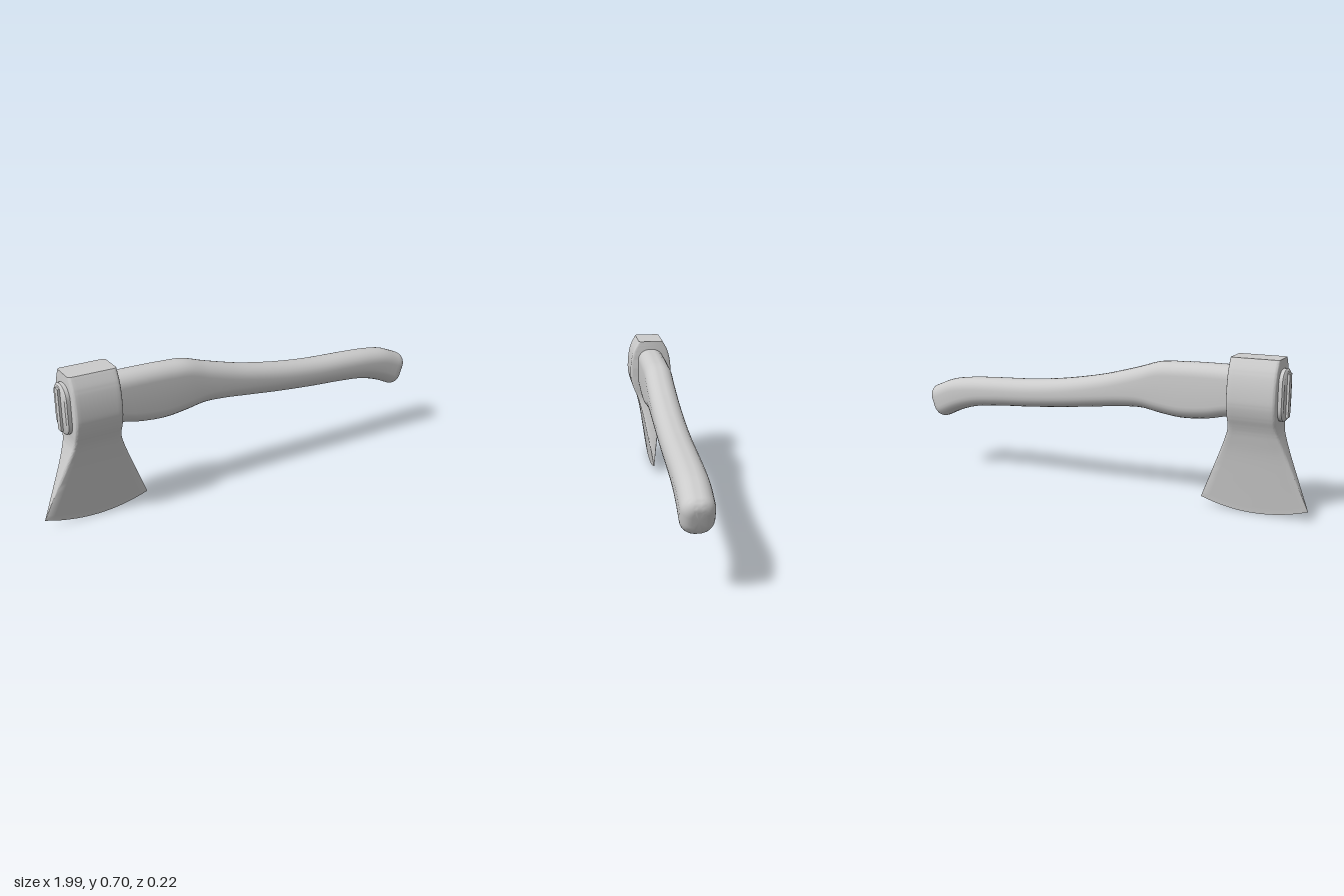
import * as THREE from 'three';
import { toCreasedNormals } from 'three/addons/utils/BufferGeometryUtils.js';

const material = new THREE.MeshStandardMaterial({ color: 0xcccccc });

// Counter-clockwise rounded rectangle as [u, v] pairs; the sides along u are subdivided.
function roundedRect(hu, hv, r, sideSteps = 1, cornerSteps = 6) {
  r = Math.min(r, hu, hv);
  const points = [];
  [[1, 1], [-1, 1], [-1, -1], [1, -1]].forEach(([su, sv], q) => {
    for (let i = 0; i <= cornerSteps; i++) {
      const a = (q + i / cornerSteps) * Math.PI / 2;
      points.push([su * (hu - r) + r * Math.cos(a), sv * (hv - r) + r * Math.sin(a)]);
    }
    if (q % 2 === 0) {
      for (let i = 1; i < sideSteps; i++) {
        points.push([su * (hu - r) * (1 - 2 * i / sideSteps), sv * hv]);
      }
    }
  });
  return points;
}

// Skin over rings of Vector3, closed with a fan at both ends.
function loft(name, rings, crease) {
  const n = rings[0].length;
  const position = [];
  const index = [];
  rings.forEach(ring => ring.forEach(p => position.push(p.x, p.y, p.z)));
  for (let i = 0; i < rings.length - 1; i++) {
    for (let j = 0; j < n; j++) {
      const k = (j + 1) % n;
      const a = i * n + j, b = i * n + k;
      index.push(a, b, b + n, a, b + n, a + n);
    }
  }
  [0, rings.length - 1].forEach((row, end) => {
    const c = new THREE.Vector3();
    rings[row].forEach(p => c.addScaledVector(p, 1 / n));
    const centre = position.length / 3;
    position.push(c.x, c.y, c.z);
    for (let j = 0; j < n; j++) {
      const a = row * n + j, b = row * n + (j + 1) % n;
      if (end) index.push(centre, a, b);
      else index.push(centre, b, a);
    }
  });
  const geometry = new THREE.BufferGeometry();
  geometry.setAttribute('position', new THREE.Float32BufferAttribute(position, 3));
  geometry.setIndex(index);
  const mesh = new THREE.Mesh(toCreasedNormals(geometry, crease), material);
  mesh.name = name;
  return mesh;
}

// Handle: matching points on the top and bottom outlines, [xTop, yTop, xBottom, yBottom].
function createHandle() {
  const stations = [
    [-0.875, 0.66, -0.875, 0.435], [-0.65, 0.66, -0.65, 0.435], [-0.53, 0.66, -0.54, 0.414],
    [-0.4, 0.657, -0.42, 0.405], [-0.3, 0.65, -0.31, 0.417], [-0.2, 0.62, -0.22, 0.432],
    [-0.1, 0.592, -0.12, 0.428], [0, 0.567, 0, 0.415], [0.2, 0.532, 0.19, 0.393],
    [0.4, 0.511, 0.38, 0.376], [0.6, 0.501, 0.57, 0.363], [0.75, 0.491, 0.71, 0.347],
    [0.86, 0.474, 0.81, 0.319], [0.955, 0.438, 0.9, 0.28],
  ];
  const top = new THREE.CatmullRomCurve3(stations.map(s => new THREE.Vector3(s[0], s[1], 0)));
  const bottom = new THREE.CatmullRomCurve3(stations.map(s => new THREE.Vector3(s[2], s[3], 0)));

  // One section at t, shrunk by inset and pushed outwards along the handle by push.
  const section = (t, inset = 0, push = 0) => {
    const a = top.getPoint(t), b = bottom.getPoint(t);
    const up = a.clone().sub(b);
    const half = up.length() / 2;
    up.normalize();
    const along = new THREE.Vector3(up.y, -up.x, 0);
    const centre = a.add(b).multiplyScalar(0.5).addScaledVector(along, push);
    return roundedRect(half - inset, 0.068 - inset, 0.058 - inset * 0.7).map(([u, v]) =>
      centre.clone().addScaledVector(up, u).add(new THREE.Vector3(0, 0, v)));
  };

  const rings = [section(0, 0.008, -0.011), section(0, 0, -0.004)];
  for (let i = 0; i <= 90; i++) rings.push(section(i / 90));
  // Rounded grip end
  for (let i = 1; i <= 7; i++) {
    const a = i / 7 * Math.PI / 2;
    rings.push(section(1, 0.042 * (1 - Math.cos(a)), 0.045 * Math.sin(a)));
  }
  return loft('handle', rings, 0.7);
}

// Axe head: [y, half length in x, half thickness in z] from the poll down to the edge.
function createHead() {
  const rows = [
    [0.703, 0.108, 0.064], [0.69, 0.108, 0.072], [0.65, 0.108, 0.092], [0.6, 0.108, 0.104],
    [0.54, 0.108, 0.109], [0.5, 0.108, 0.107], [0.45, 0.108, 0.094], [0.41, 0.108, 0.077],
    [0.38, 0.113, 0.066], [0.34, 0.125, 0.056], [0.28, 0.146, 0.043], [0.14, 0.196, 0.021],
    [0.003, 0.245, 0.0008],
  ];
  const profile = new THREE.CatmullRomCurve3(rows.map(r => new THREE.Vector3(...r)));
  const rings = [];
  for (let i = 0; i <= 60; i++) {
    const p = profile.getPoint(i / 60);
    // Towards the edge the rows bend into the arc of the bit
    const bend = 0.042 * THREE.MathUtils.clamp((0.38 - p.x) / 0.377, 0, 1);
    rings.push(roundedRect(p.y, p.z, Math.min(0.014, p.z * 0.35), 14, 4).map(([u, v]) =>
      new THREE.Vector3(u - 0.755, p.x + bend * (u / p.y) ** 2, v)));
  }
  return loft('axeHead', rings, 0.6);
}

export function createModel() {
  const group = new THREE.Group();
  group.name = 'axe';
  group.add(createHandle(), createHead());

  // Wedge driven into the handle where it leaves the eye
  const wedge = new THREE.Mesh(new THREE.BoxGeometry(0.05, 0.19, 0.034), material);
  wedge.name = 'wedge';
  wedge.position.set(-0.871, 0.547, 0);
  group.add(wedge);
  return group;
}
